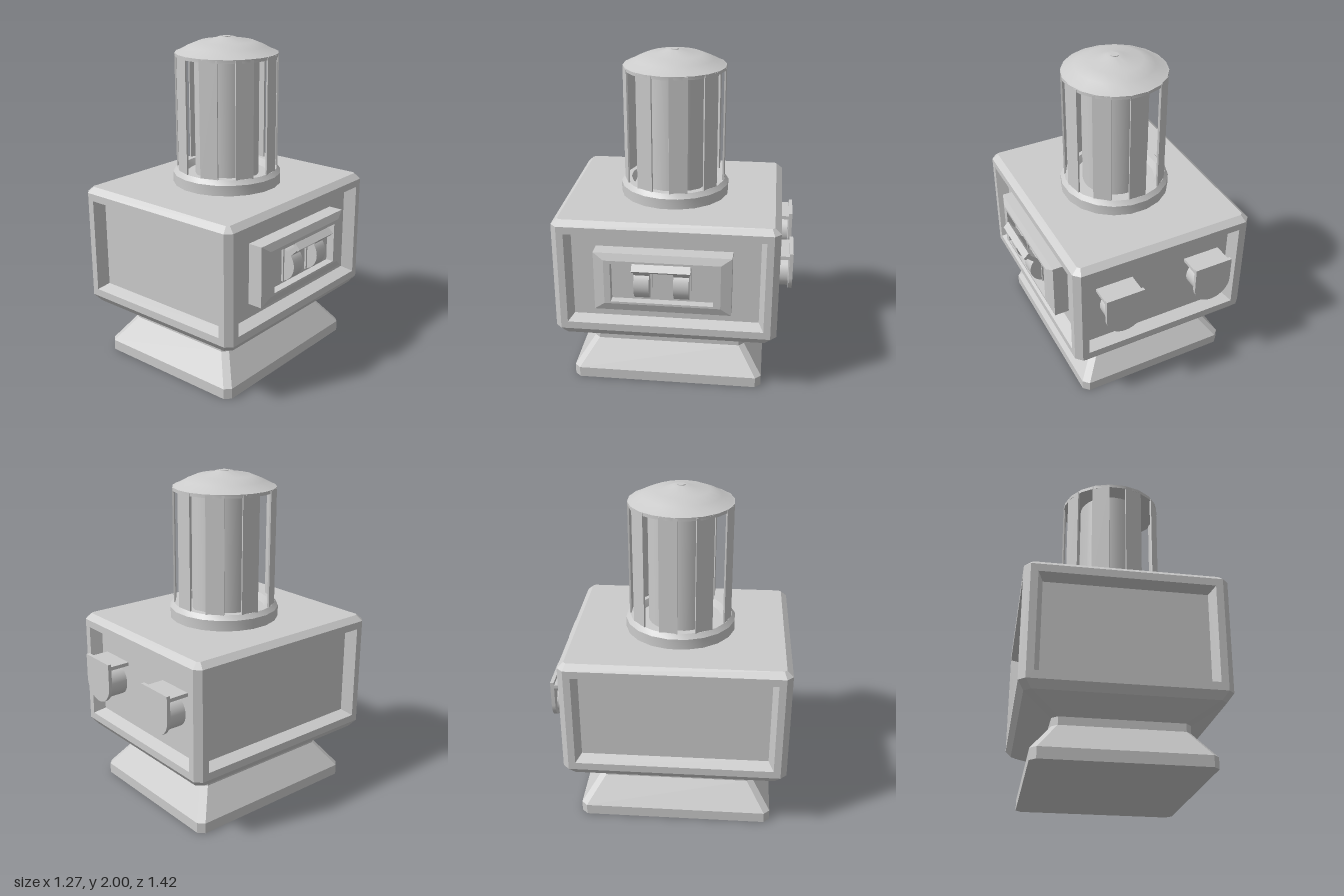
import * as THREE from 'three';
import { toCreasedNormals } from 'three/addons/utils/BufferGeometryUtils.js';

const CX = -0.057, CZ = 0.039; // common axis of base, body and chimney
const mat = new THREE.MeshStandardMaterial({ color: 0xcccccc });

function add(parent, name, geo, x = 0, y = 0, z = 0) {
  const m = new THREE.Mesh(geo, mat);
  m.name = name;
  m.position.set(x, y, z);
  parent.add(m);
  return m;
}

// Flat-shaded skin over a stack of loops (counter-clockwise about +z).
function skin(loops, { start = false, end = true, skip = () => false } = {}) {
  const pos = [], n = loops[0].length;
  const tri = (a, b, c) => pos.push(...a, ...b, ...c);
  for (let s = 0; s + 1 < loops.length; s++) {
    for (let i = 0; i < n; i++) {
      if (skip(s, i)) continue;
      const j = (i + 1) % n, a = loops[s], b = loops[s + 1];
      tri(a[i], a[j], b[j]);
      tri(a[i], b[j], b[i]);
    }
  }
  const first = loops[0], last = loops[loops.length - 1];
  for (let i = 1; i + 1 < n; i++) {
    if (start) tri(first[0], first[i + 1], first[i]);
    if (end) tri(last[0], last[i], last[i + 1]);
  }
  const g = new THREE.BufferGeometry();
  g.setAttribute('position', new THREE.Float32BufferAttribute(pos, 3));
  g.computeVertexNormals();
  return g;
}

const rect = (x0, x1, y0, y1, z) => [[x0, y0, z], [x1, y0, z], [x1, y1, z], [x0, y1, z]];

// Rectangle with cut corners; even edges are the four main sides.
const cutRect = (z, w, d, c) => [
  [w, c - d, z], [w, d - c, z], [w - c, d, z], [c - w, d, z],
  [-w, d - c, z], [-w, c - d, z], [c - w, -d, z], [w - c, -d, z]];

const lathe = (pts, sides) => toCreasedNormals(
  new THREE.LatheGeometry(pts.map(p => new THREE.Vector2(...p)), sides, Math.PI / sides), 0.45);

// Recessed panel filling one side of the body
function sidePanel(parent, name, angle, half, dist) {
  const h = half - 0.037, o = half - 0.079, i = o - 0.03;
  const g = skin([
    rect(-h, h, 0.4, 1.075, dist), rect(-o, o, 0.446, 1.03, dist),
    rect(-i, i, 0.472, 1.003, dist - 0.07)]);
  add(parent, name, g, CX, 0, CZ).rotation.y = angle;
}

// Framed control with two wheels joined by a handle
function sideControl() {
  const g = new THREE.Group();
  g.name = 'sideControl';
  g.rotation.y = Math.PI / 2;
  add(g, 'controlFrame', skin([
    rect(-0.452, 0.358, 0.562, 0.934, 0.44), rect(-0.452, 0.358, 0.562, 0.934, 0.543),
    rect(-0.39, 0.295, 0.612, 0.892, 0.56), rect(-0.352, 0.252, 0.625, 0.873, 0.56),
    rect(-0.352, 0.252, 0.625, 0.873, 0.51)]));
  for (const x of [-0.165, 0.067]) {
    add(g, 'wheelSlot', new THREE.BoxGeometry(0.112, 0.21, 0.02), x, 0.747, 0.512);
    const wheel = new THREE.CylinderGeometry(0.106, 0.106, 0.09, 32).rotateZ(Math.PI / 2);
    add(g, 'wheel', wheel, x, 0.744, 0.486);
    const arm = add(g, 'handleArm', new THREE.BoxGeometry(0.09, 0.028, 0.12), x, 0.83, 0.566);
    arm.rotation.x = -Math.PI / 4;
  }
  const bar = add(g, 'handleBar', new THREE.BoxGeometry(0.34, 0.046, 0.02), -0.045, 0.877, 0.61);
  bar.rotation.x = -Math.PI / 4;
  return g;
}

// Round outlet on the back with a D-shaped cover and a shelf above
function backOutlet(x) {
  const g = new THREE.Group();
  g.name = 'backOutlet';
  g.position.set(x, 0.745, 0);
  const tube = new THREE.CylinderGeometry(0.095, 0.095, 0.13, 32).rotateX(Math.PI / 2);
  add(g, 'outletTube', tube, 0, -0.012, -0.615);
  add(g, 'outletShelf', new THREE.BoxGeometry(0.236, 0.022, 0.14), 0, 0.12, -0.62);
  const s = new THREE.Shape();
  s.moveTo(0.122, 0.15);
  s.lineTo(-0.122, 0.15);
  s.lineTo(-0.122, 0);
  s.absarc(0, 0, 0.122, Math.PI, Math.PI * 2, false);
  const cover = new THREE.ExtrudeGeometry(s, { depth: 0.022, bevelEnabled: false, curveSegments: 20 });
  add(g, 'outletCover', toCreasedNormals(cover, 0.5), 0, 0, -0.708);
  return g;
}

// Caged chimney with nine slats round an inner flue
function chimney() {
  const g = new THREE.Group();
  g.name = 'chimney';
  g.position.set(CX, 0, CZ);
  add(g, 'collar', lathe([
    [0.334, 1.1], [0.334, 1.172], [0.312, 1.2], [0.272, 1.2], [0.25, 1.16], [0, 1.16]], 20));
  add(g, 'flue', new THREE.CylinderGeometry(0.196, 0.196, 0.75, 32, 1, true), 0, 1.52, 0);
  for (let i = 0; i < 9; i++) {
    const a = (i + 0.5) * Math.PI * 2 / 9;
    const slat = add(g, 'slat', new THREE.BoxGeometry(0.11, 0.72, 0.01),
      0.302 * Math.sin(a), 1.54, 0.302 * Math.cos(a));
    slat.rotation.y = a;
  }
  add(g, 'cap', lathe([
    [0, 1.885], [0.311, 1.885], [0.311, 1.905], [0.3, 1.908], [0.235, 1.942],
    [0.167, 1.97], [0.11, 1.972], [0.05, 1.995], [0, 1.997]], 20));
  add(g, 'capStud', new THREE.CylinderGeometry(0.025, 0.025, 0.02, 16), 0, 1.99, 0);
  return g;
}

export function createModel() {
  const model = new THREE.Group();

  // Flared foot and neck
  const base = skin([
    cutRect(0, 0.499, 0.587, 0.035), cutRect(0.065, 0.499, 0.587, 0.035),
    cutRect(0.223, 0.383, 0.473, 0.033), cutRect(0.28, 0.383, 0.473, 0.033)], { start: true });
  add(model, 'base', base.rotateX(-Math.PI / 2), CX, 0, CZ);

  // Bevelled body shell, open where the four panels sit
  const body = skin([
    cutRect(0.27, 0.383, 0.473, 0.033), cutRect(0.355, 0.546, 0.636, 0.037),
    cutRect(0.4, 0.579, 0.669, 0.037), cutRect(1.075, 0.579, 0.669, 0.037),
    cutRect(1.108, 0.542, 0.632, 0.015)],
  { start: true, skip: (s, i) => s === 2 && i % 2 === 0 });
  add(model, 'body', body.rotateX(-Math.PI / 2), CX, 0, CZ);

  sidePanel(model, 'frontPanel', 0, 0.579, 0.669);
  sidePanel(model, 'backPanel', Math.PI, 0.579, 0.669);
  sidePanel(model, 'leftPanel', Math.PI / 2, 0.669, 0.579);
  sidePanel(model, 'rightPanel', -Math.PI / 2, 0.669, 0.579);

  model.add(sideControl(), backOutlet(-0.345), backOutlet(0.243), chimney());
  return model;
}
